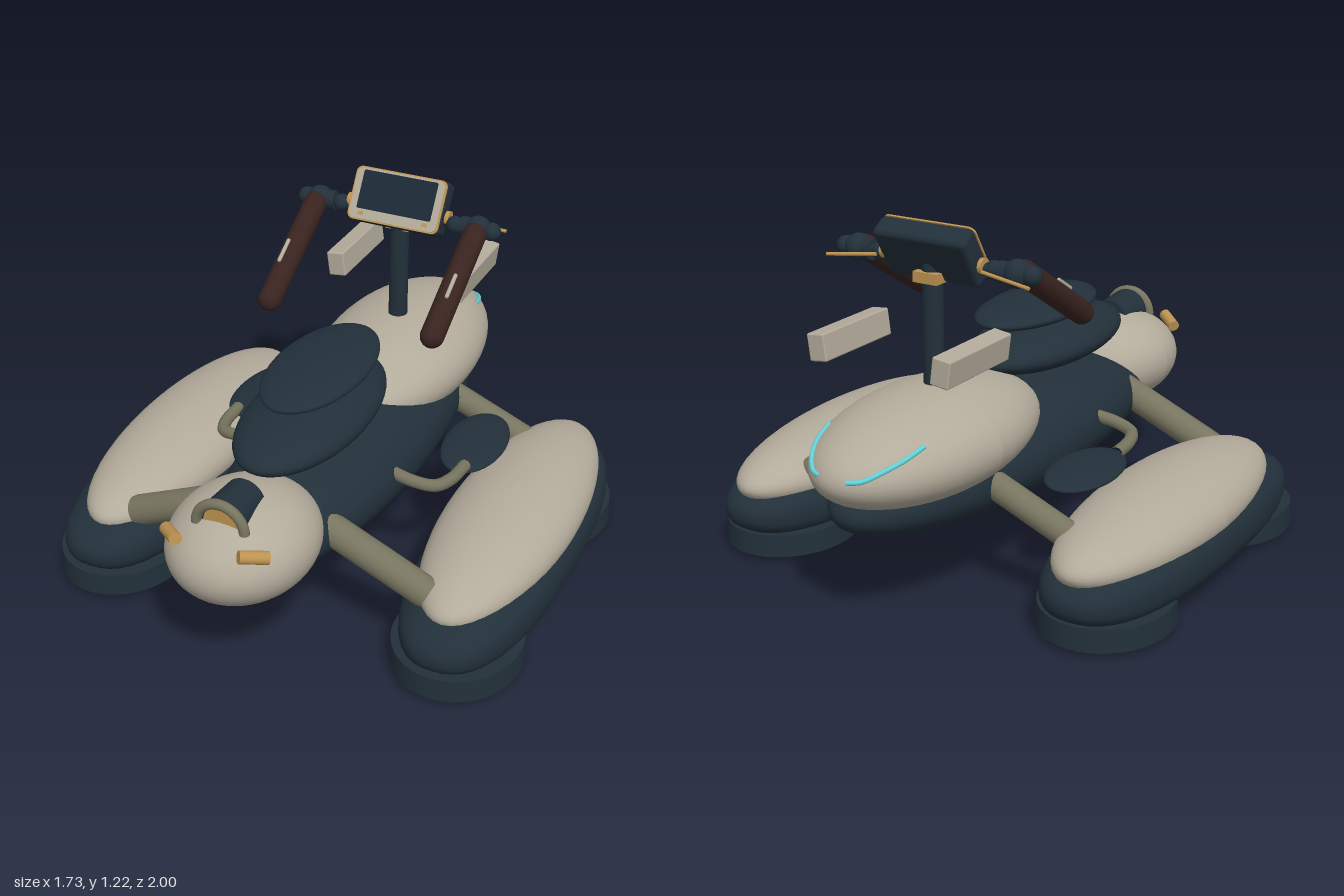
import * as THREE from 'three';
import { RoundedBoxGeometry } from 'three/addons/geometries/RoundedBoxGeometry.js';

const mat = (name, color) => {
  const m = new THREE.MeshStandardMaterial({ color });
  m.name = name;
  return m;
};

export function createModel() {
  const root = new THREE.Group();
  root.name = 'hoverBike';
  const shell = mat('warm grey shell', 0xb3ab9b);
  const dark = mat('dark slate', 0x22303a);
  const brown = mat('brown leather', 0x38231f);
  const olive = mat('olive metal', 0x77745f);
  const gold = mat('gold', 0xbd9350);
  const cyan = mat('cyan glow', 0x62d2d8);
  const teal = mat('teal emitter', 0x4a8888);
  const glass = mat('screen glass', 0x1c2a36);

  const V = (x, y, z) => new THREE.Vector3(x, y, z);
  const add = (name, geo, material, pos = [0, 0, 0], parent = root) => {
    const m = new THREE.Mesh(geo, material);
    m.name = name;
    m.position.set(...pos);
    parent.add(m);
    return m;
  };

  // Ellipsoid; a power above 2 makes it boxier
  const blob = (rx, ry, rz, power = 2) => {
    const g = new THREE.SphereGeometry(1, 48, 32);
    const p = g.attributes.position;
    for (let i = 0; i < p.count; i++) {
      const v = V(p.getX(i), p.getY(i), p.getZ(i));
      const s = [v.x, v.y, v.z].reduce((a, c) => a + Math.abs(c) ** power, 0) ** (1 / power);
      p.setXYZ(i, v.x / s * rx, v.y / s * ry, v.z / s * rz);
    }
    g.computeVertexNormals();
    return g;
  };

  // Rod between two points, optionally with round ends
  const rod = (name, a, b, r, material, round = false, parent = root) => {
    const len = a.distanceTo(b);
    const g = round ? new THREE.CapsuleGeometry(r, len, 8, 20) : new THREE.CylinderGeometry(r, r, len, 20);
    const m = add(name, g, material, a.clone().add(b).multiplyScalar(0.5).toArray(), parent);
    m.quaternion.setFromUnitVectors(V(0, 1, 0), b.clone().sub(a).normalize());
    return m;
  };
  const tube = (name, pts, r, material) =>
    add(name, new THREE.TubeGeometry(new THREE.CatmullRomCurve3(pts), 32, r, 10), material);

  // Hull, nose, tail and seat
  add('hull', blob(0.29, 0.18, 0.9), dark, [0, 0.395, -0.05]);
  add('nose', blob(0.24, 0.17, 0.28), shell, [0, 0.46, 0.72]);
  const tail = { x: 0.28, y: 0.17, z: 0.51, cy: 0.522, cz: -0.49 };
  add('tailShell', blob(tail.x, tail.y, tail.z), shell, [0, tail.cy, tail.cz]);
  add('seatBase', blob(0.2, 0.083, 0.405), dark, [0, 0.66, 0.243]);
  add('seatCushion', blob(0.16, 0.043, 0.313), dark, [0, 0.79, 0.173]);

  // Nose lamp under an arch
  const hood = add('lampHood', new THREE.CylinderGeometry(0.08, 0.07, 0.155, 32), dark, [0, 0.6, 0.783]);
  hood.rotation.x = Math.PI / 2;
  add('lampLens', new THREE.CircleGeometry(0.06, 32), gold, [0, 0.6, 0.863]);
  add('lampArch', new THREE.TorusGeometry(0.083, 0.017, 12, 32, Math.PI), olive, [0, 0.59, 0.865]);

  for (const s of [-1, 1]) {
    const side = s > 0 ? 'left' : 'right';

    // Side pods with round hover pads
    add(side + 'PodHull', blob(0.235, 0.13, 0.7, 2.5), dark, [s * 0.628, 0.16, 0]);
    add(side + 'PodCover', blob(0.222, 0.13, 0.64), shell, [s * 0.625, 0.25, -0.035]);
    for (const [end, z] of [['Front', 0.455], ['Rear', -0.43]]) {
      const pad = new THREE.Group();
      pad.name = side + end + 'HoverPad';
      pad.position.set(s * 0.628, 0, z);
      pad.scale.z = 1.14;
      root.add(pad);
      add('padHousing', new THREE.CylinderGeometry(0.214, 0.218, 0.078, 40), dark, [0, 0.061, 0], pad);
      add('padRing', new THREE.TorusGeometry(0.174, 0.011, 10, 48), cyan, [0, 0.013, 0], pad).rotation.x = Math.PI / 2;
      add('padEmitter', new THREE.CylinderGeometry(0.15, 0.15, 0.008, 40), teal, [0, 0.019, 0], pad);
    }

    // Struts to the pods, foot rest and its bent rail
    rod(side + 'FrontStrut', V(s * 0.15, 0.43, 0.5), V(s * 0.54, 0.26, 0.5), 0.053, olive);
    rod(side + 'RearStrut', V(s * 0.15, 0.43, -0.465), V(s * 0.54, 0.27, -0.465), 0.046, olive);
    add(side + 'FootRest', blob(0.105, 0.024, 0.2), dark, [s * 0.415, 0.392, -0.2]).rotation.z = -s * 0.1;
    tube(side + 'FootRail', [V(s * 0.23, 0.44, 0.15), V(s * 0.33, 0.425, 0.158), V(s * 0.4, 0.412, 0.135),
      V(s * 0.43, 0.405, 0.07), V(s * 0.44, 0.4, -0.04)], 0.022, olive);

    // Running light and glowing tail stripe lying on the tail
    rod(side + 'RunningLight', V(s * 0.178, 0.55, 0.89), V(s * 0.108, 0.57, 0.95), 0.021, gold);
    tube(side + 'TailStripe', [[0.18, -0.77], [0.163, -0.85], [0.13, -0.92], [0.09, -0.967], [0.05, -0.988]].map(([x, z]) => {
      const k = 1 - (x / tail.x) ** 2 - ((z - tail.cz) / tail.z) ** 2;
      return V(s * x, tail.cy + tail.y * Math.sqrt(Math.max(k, 0)) + 0.002, z);
    }), 0.008, cyan);

    // Side case
    add(side + 'Case', new RoundedBoxGeometry(0.066, 0.09, 0.34, 2, 0.006), shell, [s * 0.23, 0.85, -0.587]).rotation.z = -s * 0.13;

    // Handlebar, joints, lever and grip
    rod(side + 'Handlebar', V(s * 0.14, 1.09, -0.45), V(s * 0.36, 1.09, -0.43), 0.02, dark);
    for (const [x, r] of [[0.215, 0.03], [0.3, 0.046], [0.35, 0.032]])
      add(side + 'Joint', blob(r, r, r), dark, [s * x, 1.09, -0.435]);
    rod(side + 'Collar', V(s * 0.24, 1.09, -0.44), V(s * 0.27, 1.09, -0.437), 0.034, dark);
    rod(side + 'Lever', V(s * 0.2, 1.09, -0.48), V(s * 0.38, 1.07, -0.5), 0.006, gold);
    rod(side + 'Clamp', V(s * 0.178, 1.1, -0.45), V(s * 0.192, 1.1, -0.45), 0.026, gold);
    rod(side + 'Grip', V(s * 0.302, 1.085, -0.4), V(s * 0.302, 0.868, -0.045), 0.041, brown, true);
    rod(side + 'GripInlay', V(s * 0.312, 1.018, -0.21), V(s * 0.312, 0.974, -0.138), 0.007, shell, true);
  }

  // Steering column
  rod('steeringColumn', V(0, 0.64, -0.455), V(0, 1.1, -0.455), 0.034, dark);
  add('columnBracket', new THREE.BoxGeometry(0.09, 0.035, 0.07), gold, [0, 1.045, -0.465]);

  // Tilted display
  const display = new THREE.Group();
  display.name = 'display';
  display.position.set(0, 1.123, -0.462);
  display.rotation.x = -0.55;
  root.add(display);
  add('displayHousing', new RoundedBoxGeometry(0.345, 0.19, 0.08, 3, 0.018), dark, [0, 0, 0], display);

  // Thin plates with rounded corners on the display face
  const plate = (name, w, h, r, y, z, material) => {
    const x = w / 2 - r, t = h / 2 - r;
    const shape = new THREE.Shape();
    shape.absarc(x, t, r, 0, Math.PI / 2);
    shape.absarc(-x, t, r, Math.PI / 2, Math.PI);
    shape.absarc(-x, -t, r, Math.PI, Math.PI * 1.5);
    shape.absarc(x, -t, r, Math.PI * 1.5, Math.PI * 2);
    add(name, new THREE.ExtrudeGeometry(shape, { depth: 0.006, bevelEnabled: false }), material, [0, y, z], display);
  };
  plate('displayTrim', 0.342, 0.188, 0.024, 0, 0.036, gold);
  plate('displayFrame', 0.33, 0.178, 0.022, 0, 0.04, shell);
  plate('screen', 0.278, 0.136, 0.006, 0.014, 0.043, glass);
  for (const x of [-0.12, 0.12])
    add('displayButton', new THREE.BoxGeometry(0.018, 0.012, 0.008), gold, [x, -0.069, 0.046], display);

  return root;
}
